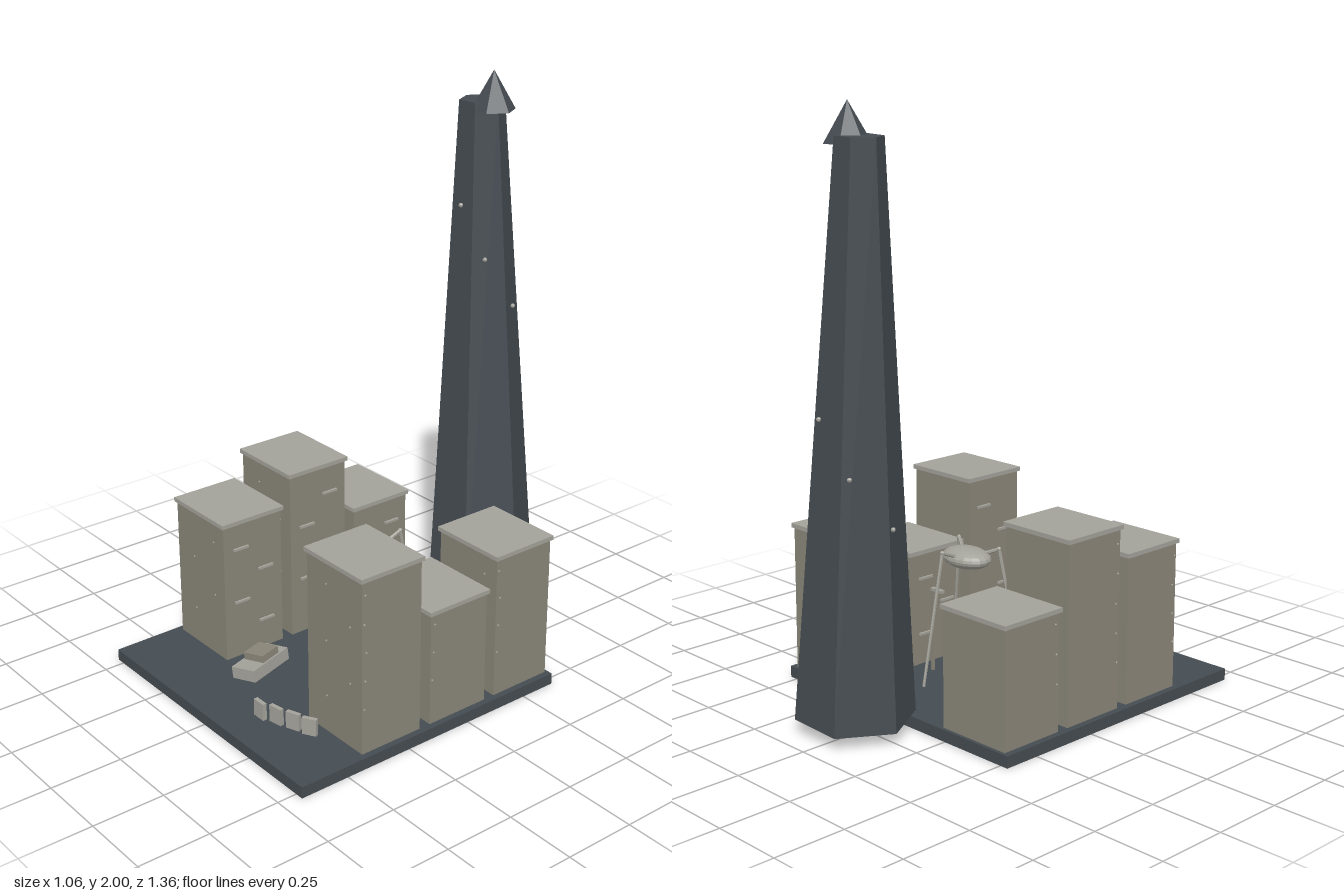
import * as THREE from 'three';

export function createModel() {
  const root = new THREE.Group();
  const material = (name, color) => {
    const m = new THREE.MeshStandardMaterial({ color, flatShading: true });
    m.name = name;
    return m;
  };
  const slate = material('dark slate', 0x454c51);
  const concrete = material('warm concrete', 0x8a8678);
  const pale = material('pale grey', 0xa3a29a);

  const add = (name, geometry, mat, x = 0, y = 0, z = 0, parent = root) => {
    const mesh = new THREE.Mesh(geometry, mat);
    mesh.name = name;
    mesh.position.set(x, y, z);
    parent.add(mesh);
    return mesh;
  };
  const group = (name, x = 0, y = 0, z = 0) => {
    const g = new THREE.Group();
    g.name = name;
    g.position.set(x, y, z);
    root.add(g);
    return g;
  };
  const box = (w, h, d) => new THREE.BoxGeometry(w, h, d);
  // Tapered rod between two points
  const rod = (name, a, b, ra, rb, mat, parent) => {
    const dir = b.clone().sub(a);
    const mid = a.clone().add(b).multiplyScalar(0.5);
    const mesh = add(name, new THREE.CylinderGeometry(rb, ra, dir.length(), 6), mat, mid.x, mid.y, mid.z, parent);
    mesh.quaternion.setFromUnitVectors(new THREE.Vector3(0, 1, 0), dir.normalize());
  };

  // Street slab
  add('streetSlab', box(1.06, 0.04, 1.06), slate, 0, 0.02, 0.15);

  // Leaning hexagonal tower with an upright spire
  const shaft = new THREE.CylinderGeometry(0.077, 0.197, 1.85, 6).rotateY(Math.PI / 6);
  add('towerShaft', shaft, slate, -0.001, 0.972, -0.511).rotation.z = 0.031;
  add('towerSpire', new THREE.ConeGeometry(0.075, 0.13, 6).rotateY(Math.PI / 6), slate, 0.024, 1.935, -0.511);

  // Small knobs spiralling up the tower
  const knob = new THREE.SphereGeometry(0.008, 6, 5);
  [[-0.066, 0.52, -0.385], [-0.146, 0.7, -0.495], [-0.09, 0.87, -0.62], [0.035, 1.04, -0.634],
    [0.112, 1.21, -0.543], [0.08, 1.385, -0.44], [-0.017, 1.555, -0.415]]
    .forEach(p => add('towerKnob', knob, pale, ...p));

  // Two rows of buildings with roof caps, street-side ledges and wall studs
  const stud = new THREE.SphereGeometry(0.004, 5, 4);
  const heights = { '-1': [0.557, 0.662, 0.452], '1': [0.662, 0.452, 0.557] };
  for (const side of [-1, 1]) {
    heights[side].forEach((top, row) => {
      const b = group('building', side * 0.37, 0, 0.308 - row * 0.279);
      const wallTop = top - 0.015;
      add('buildingWalls', box(0.275, wallTop - 0.04, 0.237), concrete, 0, (wallTop + 0.04) / 2, 0, b);
      add('roofCap', box(0.29, 0.015, 0.252), pale, 0, top - 0.0075, 0, b);
      for (let floor = 0, y = 0.15; y < wallTop - 0.05; floor++, y += 0.1) {
        const shift = floor % 2 ? 0.05 : -0.05;
        add('windowLedge', box(0.01, 0.008, 0.06), pale, -side * 0.141, y, shift, b);
        add('wallStud', stud, pale, shift * 1.2 + 0.02, y + 0.02, 0.119, b);
        add('wallStud', stud, pale, side * 0.138, y + 0.05, 0.11 - (floor % 3) * 0.004, b);
      }
    });
  }

  // Three-legged walker: flattened hull, eye and bent legs
  const walker = group('walker', 0.065, 0, 0.018);
  add('walkerHull', new THREE.SphereGeometry(1, 18, 12), pale, 0, 0.452, 0, walker).scale.set(0.096, 0.036, 0.07);
  add('walkerEye', new THREE.SphereGeometry(0.012, 8, 6), concrete, 0, 0.447, 0.07, walker);
  rod('walkerSnout', new THREE.Vector3(0, 0.447, 0.07), new THREE.Vector3(0, 0.447, 0.1), 0.006, 0.005, pale, walker);
  for (let i = 0; i < 3; i++) {
    const angle = Math.PI + i * Math.PI * 2 / 3;
    const at = (r, y) => new THREE.Vector3(Math.sin(angle) * r, y, Math.cos(angle) * r);
    const hip = at(0.05, 0.465), knee = at(0.113, 0.49), foot = at(0.2, 0.042);
    rod('upperLeg', hip, knee, 0.007, 0.006, pale, walker);
    add('kneeJoint', knob, pale, knee.x, knee.y, knee.z, walker);
    rod('lowerLeg', knee, foot, 0.006, 0.005, pale, walker);
  }

  // Street lamp
  add('lampPost', box(0.01, 0.295, 0.01), concrete, 0.162, 0.187, -0.05);
  add('lampArm', box(0.055, 0.01, 0.016), pale, 0.138, 0.332, -0.05);

  // Wrecked car, turned and tipped to one side
  const car = group('car', -0.1, 0.075, 0.38);
  car.rotation.set(0, 0.3, 0.13, 'YXZ');
  add('carBody', box(0.094, 0.042, 0.19), pale, 0, 0, 0, car);
  add('carCabin', box(0.08, 0.026, 0.085), concrete, 0, 0.033, -0.01, car);

  // Curved line of barricade blocks
  [[0.13, 0.547, 0], [0.19, 0.526, 0.17], [0.252, 0.504, 0.35], [0.311, 0.483, 0.52]].forEach(([x, z, turn]) => {
    add('barricadeBlock', box(0.05, 0.06, 0.015), pale, x, 0.07, z).rotation.y = turn;
  });

  return root;
}
